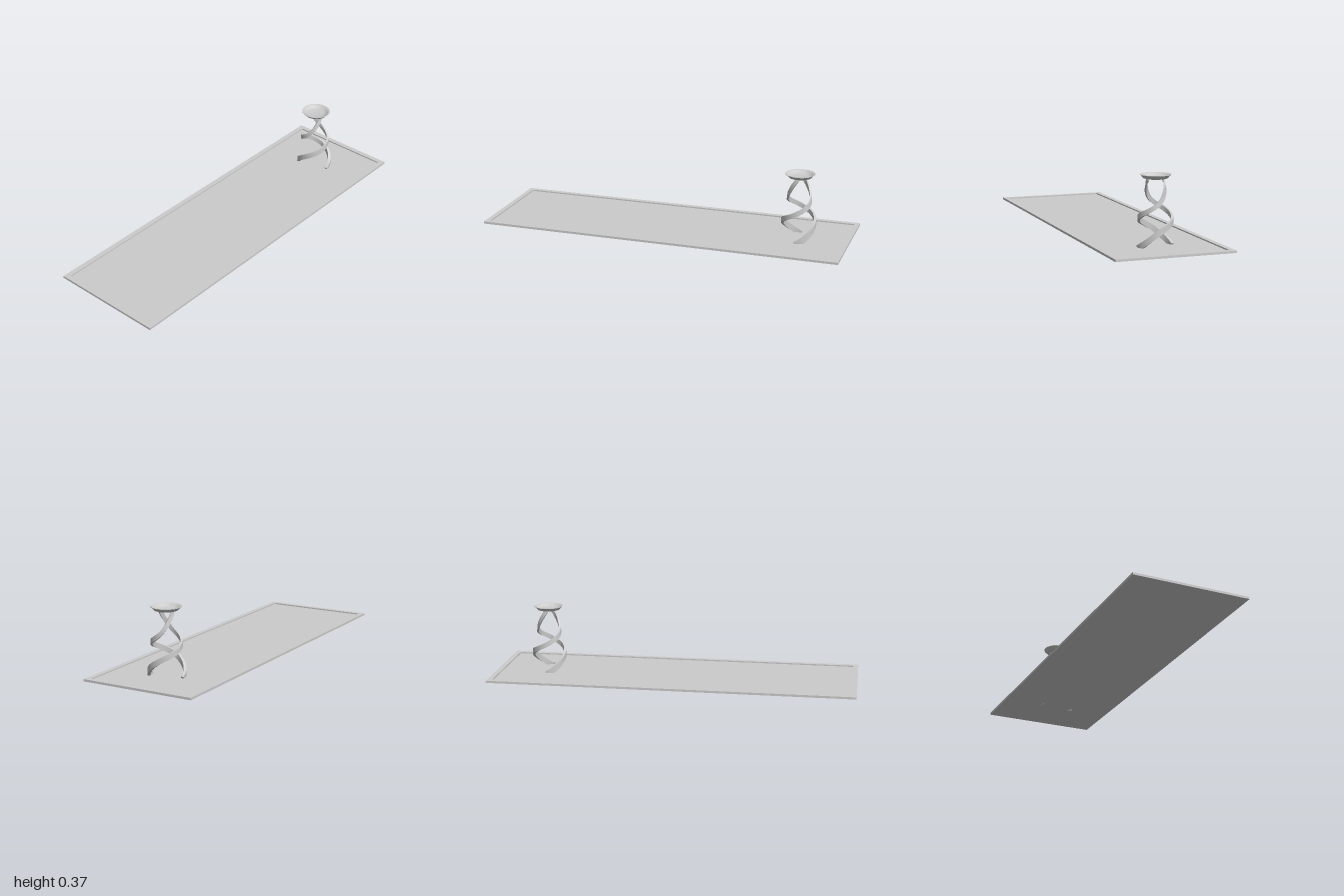
import * as THREE from 'three';
import { toCreasedNormals } from 'three/addons/utils/BufferGeometryUtils.js';

const STAND_Z = -0.72;
const grey = new THREE.MeshStandardMaterial({ color: 0xcccccc });

function part(name, geometry) {
  const mesh = new THREE.Mesh(geometry, grey);
  mesh.name = name;
  return mesh;
}

function rectangle(path, hx, hy) {
  path.moveTo(-hx, -hy);
  path.lineTo(hx, -hy);
  path.lineTo(hx, hy);
  path.lineTo(-hx, hy);
  path.closePath();
  return path;
}

// Slightly rounded rectangle for the inside of the rim
function roundedRectangle(path, hx, hy, r) {
  path.absarc(hx - r, hy - r, r, 0, Math.PI / 2);
  path.absarc(-hx + r, hy - r, r, Math.PI / 2, Math.PI);
  path.absarc(-hx + r, -hy + r, r, Math.PI, Math.PI * 1.5);
  path.absarc(hx - r, -hy + r, r, Math.PI * 1.5, Math.PI * 2);
  path.closePath();
  return path;
}

// One turn of a tapering helix, given as (height, outer radius) per quarter turn
const helix = new THREE.SplineCurve([
  new THREE.Vector2(0.005, 0.1),
  new THREE.Vector2(0.1, 0.095),
  new THREE.Vector2(0.168, 0.087),
  new THREE.Vector2(0.238, 0.068),
  new THREE.Vector2(0.352, 0.045),
]);

function helixPoint(u, start) {
  const { x: y, y: r } = helix.getPoint(u);
  const a = start + u * Math.PI * 2;
  return new THREE.Vector3(r * Math.cos(a), y, -r * Math.sin(a));
}

// Flat strip swept along the helix, its broad face turned outwards
function ribbonGeometry(start) {
  const steps = 72, positions = [], index = [];
  for (let i = 0; i <= steps; i++) {
    const u = i / steps;
    const p = helixPoint(u, start);
    const tangent = helixPoint(Math.min(1, u + 0.005), start)
      .sub(helixPoint(Math.max(0, u - 0.005), start)).normalize();
    const radial = new THREE.Vector3(p.x, 0, p.z).normalize();
    const across = new THREE.Vector3().crossVectors(radial, tangent).normalize();
    const width = THREE.MathUtils.lerp(0.03, 0.02, u);
    const thick = THREE.MathUtils.lerp(0.015, 0.009, u);
    for (const [s, d] of [[-0.5, 0], [0.5, 0], [0.5, -1], [-0.5, -1]]) {
      const v = p.clone().addScaledVector(across, s * width).addScaledVector(radial, d * thick);
      // Ends are cut level with the ground and the dish
      positions.push(v.x, THREE.MathUtils.clamp(v.y, 0, 0.355), v.z);
    }
    if (i < steps) {
      for (let k = 0; k < 4; k++) {
        const a = i * 4 + k, b = i * 4 + (k + 1) % 4;
        index.push(a, a + 4, b, b, a + 4, b + 4);
      }
    }
  }
  const e = steps * 4;
  index.push(0, 1, 2, 0, 2, 3, e, e + 2, e + 1, e, e + 3, e + 2);
  const geometry = new THREE.BufferGeometry();
  geometry.setAttribute('position', new THREE.Float32BufferAttribute(positions, 3));
  // Make the faces point outwards whichever way the sweep runs
  const P = (n) => new THREE.Vector3().fromArray(positions, n * 3);
  const m = (steps / 2) * 4;
  const normal = P(m + 4).sub(P(m)).cross(P(m + 1).sub(P(m)));
  const out = P(m).setY(0);
  if (normal.dot(out) < 0) {
    for (let i = 0; i < index.length; i += 3) {
      [index[i + 1], index[i + 2]] = [index[i + 2], index[i + 1]];
    }
  }
  geometry.setIndex(index);
  return toCreasedNormals(geometry, 0.7);
}

export function createModel() {
  const model = new THREE.Group();
  model.name = 'trayWithSpiralStand';

  // Long tray: thin floor inside a raised rim
  const tray = new THREE.Group();
  tray.name = 'tray';
  const frame = rectangle(new THREE.Shape(), 0.317, 1);
  frame.holes.push(roundedRectangle(new THREE.Path(), 0.289, 0.972, 0.008));
  const rim = part('trayRim', new THREE.ExtrudeGeometry(frame, { depth: 0.012, bevelEnabled: false, curveSegments: 4 }));
  rim.rotation.x = -Math.PI / 2;
  rim.position.y = 0.005;
  const floor = part('trayFloor', new THREE.BoxGeometry(0.59, 0.005, 1.956));
  floor.position.y = 0.0075;
  tray.add(rim, floor);

  // Two intertwined ribbons carrying a shallow dish
  const stand = new THREE.Group();
  stand.name = 'spiralStand';
  stand.position.z = STAND_Z;
  stand.add(part('leftRibbon', ribbonGeometry(0)));
  stand.add(part('rightRibbon', ribbonGeometry(Math.PI)));

  const profile = [
    [0, 0.352], [0.053, 0.352], [0.062, 0.355], [0.069, 0.363], [0.074, 0.369],
    [0.08, 0.372], [0.08, 0.374], [0.073, 0.373], [0.066, 0.368], [0.058, 0.36],
    [0.045, 0.357], [0, 0.357],
  ].map(([r, y]) => new THREE.Vector2(r, y));
  stand.add(part('dish', toCreasedNormals(new THREE.LatheGeometry(profile, 48), 0.6)));

  model.add(tray, stand);
  return model;
}
